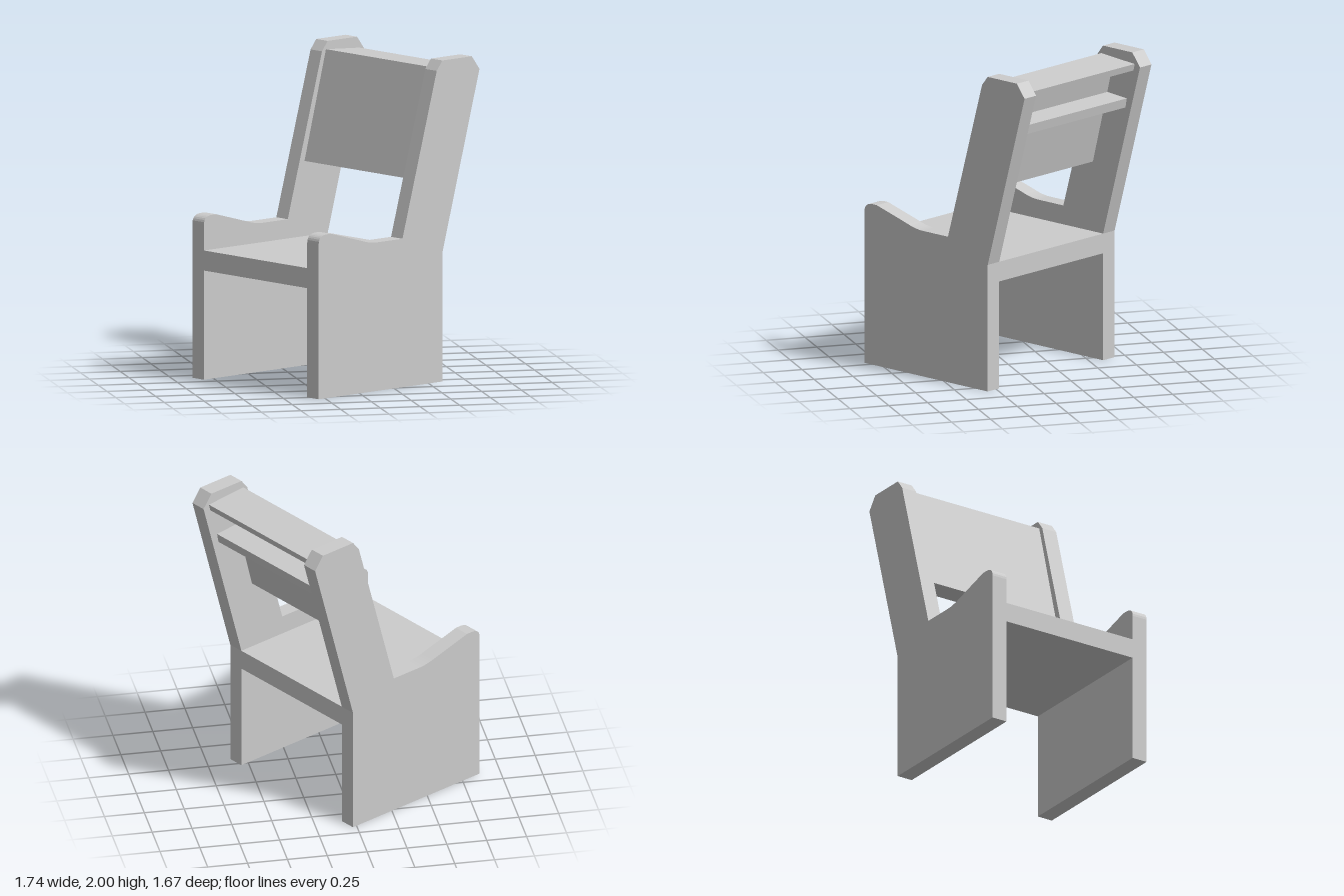
import * as THREE from 'three';

const INNER = 0.47;   // half width between the side panels
const OUTER = 0.574;  // half width overall

// Extrude a side profile (x = depth towards the back, y = height) from z0 to z1
function extrudeProfile(name, shape, z0, z1, material) {
  const geometry = new THREE.ExtrudeGeometry(shape, { depth: z1 - z0, bevelEnabled: false, curveSegments: 6 });
  geometry.translate(0, 0, z0);
  const mesh = new THREE.Mesh(geometry, material);
  mesh.name = name;
  return mesh;
}

const polygon = (points) => new THREE.Shape(points.map(([x, y]) => new THREE.Vector2(x, y)));

// Side panel: leg, curved armrest and raked back post in one outline
function sideShape() {
  const s = new THREE.Shape();
  s.moveTo(-0.673, 0);
  s.lineTo(0.361, 0);
  s.lineTo(0.361, 0.805);
  s.lineTo(0.67, 1.915);
  s.lineTo(0.606, 2);
  s.lineTo(0.36, 2);
  s.lineTo(0.313, 1.94);
  s.lineTo(0.027, 0.925);
  s.lineTo(-0.19, 0.925);
  s.quadraticCurveTo(-0.25, 0.927, -0.31, 0.947);
  s.lineTo(-0.57, 1.02);
  s.lineTo(-0.615, 1.02);
  s.quadraticCurveTo(-0.673, 1.015, -0.673, 0.965);
  s.closePath();
  return s;
}

export function createModel() {
  const model = new THREE.Group();
  model.name = 'bench';
  const material = new THREE.MeshStandardMaterial({ color: 0xcccccc });

  // Two matching side panels
  const side = sideShape();
  model.add(extrudeProfile('leftSidePanel', side, INNER, OUTER, material));
  model.add(extrudeProfile('rightSidePanel', side, -OUTER, -INNER, material));

  // Parts spanning between the panels
  const spans = {
    seat: [[-0.673, 0.68], [0.361, 0.68], [0.361, 0.805], [-0.673, 0.805]],
    backrest: [[0.167, 1.273], [0.275, 1.248], [0.455, 1.942], [0.346, 1.95]],
    topShelf: [[0.443, 1.9], [0.615, 1.887], [0.626, 1.93], [0.455, 1.942]],
    bookLedge: [[0.378, 1.653], [0.548, 1.64], [0.56, 1.7], [0.393, 1.712]],
  };
  for (const [name, points] of Object.entries(spans)) {
    model.add(extrudeProfile(name, polygon(points), -INNER, INNER, material));
  }

  // The bench stands turned on the floor
  model.rotation.y = Math.PI / 6;
  const group = new THREE.Group();
  group.name = 'turnedBench';
  group.add(model);
  return group;
}
